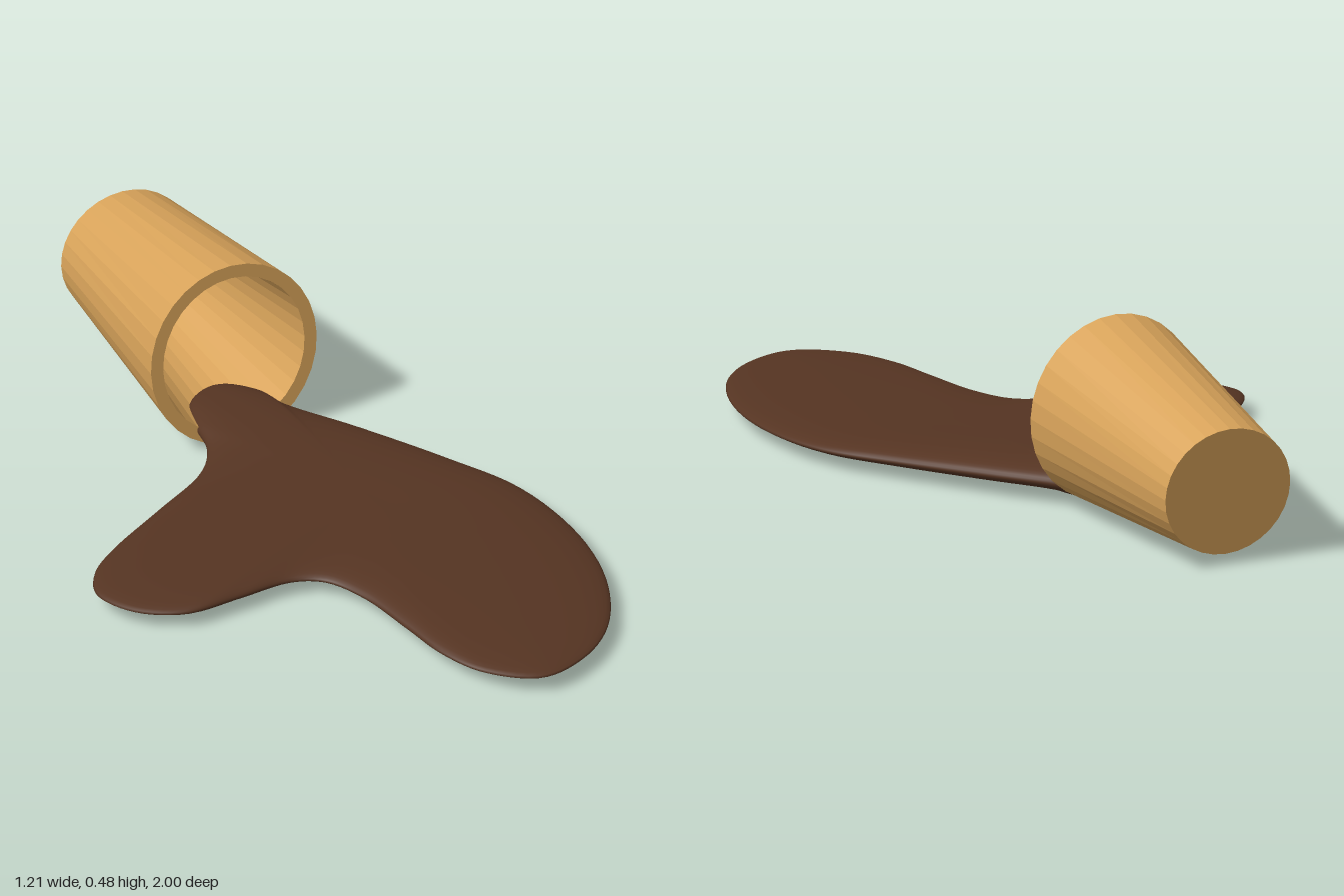
import * as THREE from 'three';

// Skins a list of closed rings (arrays of Vector3 of equal length).
function loft(rings) {
  const n = rings[0].length, pos = [], idx = [];
  rings.forEach(r => r.forEach(p => pos.push(p.x, p.y, p.z)));
  for (let i = 0; i < rings.length - 1; i++) {
    for (let j = 0; j < n; j++) {
      const k = (j + 1) % n;
      const a = i * n + j, b = i * n + k, c = b + n, d = a + n;
      idx.push(a, b, c, a, c, d);
    }
  }
  const g = new THREE.BufferGeometry();
  g.setAttribute('position', new THREE.Float32BufferAttribute(pos, 3));
  g.setIndex(idx);
  g.computeVertexNormals();
  return g;
}

// Tapered, hollow cup lying on its side, slightly oval at the rim
function makeCup() {
  const base = new THREE.Vector3(-0.09, 0.193, -0.983);
  const rim = new THREE.Vector3(-0.025, 0.245, -0.365);
  const axis = rim.clone().sub(base);
  const length = axis.length();
  // distance along the axis, half width, half height
  const profile = [
    [0, 0, 0], [0, 0.171, 0.163],
    [length, 0.224, 0.242], [length, 0.191, 0.208],
    [0.05, 0.122, 0.13], [0.05, 0, 0],
  ];
  const sides = 32;
  const rings = profile.map(([s, rx, ry]) => Array.from({ length: sides }, (_, j) => {
    const a = j / sides * Math.PI * 2;
    return new THREE.Vector3(rx * Math.cos(a), ry * Math.sin(a), s);
  }));
  const cup = new THREE.Mesh(loft(rings),
    new THREE.MeshStandardMaterial({ color: 0xd8a35a, flatShading: true }));
  cup.name = 'cup';
  cup.position.copy(base);
  cup.quaternion.setFromUnitVectors(new THREE.Vector3(0, 0, 1), axis.normalize());
  return cup;
}

// Spilled liquid: a soft pillow inside a lobed outline, thicker at the cup mouth
function makeSpill() {
  const outline = [
    [-0.127, -0.37], [-0.135, -0.25], [-0.19, -0.15], [-0.34, -0.03], [-0.5, 0.095],
    [-0.575, 0.175], [-0.605, 0.275], [-0.545, 0.375], [-0.43, 0.425], [-0.285, 0.4],
    [-0.14, 0.372], [-0.06, 0.4], [0.005, 0.5], [0.058, 0.67], [0.1, 0.81],
    [0.17, 0.925], [0.295, 0.995], [0.417, 0.945], [0.52, 0.83], [0.59, 0.63],
    [0.597, 0.4], [0.533, 0.16], [0.41, -0.015], [0.243, -0.22], [0.1, -0.385],
    [0.06, -0.47], [-0.02, -0.52], [-0.1, -0.47],
  ].map(([x, z]) => new THREE.Vector3(x, 0, z));
  const edge = new THREE.CatmullRomCurve3(outline, true).getPoints(160).slice(0, -1);
  const centre = new THREE.Vector3(0.15, 0, 0.1);
  const steps = 32, rings = [];
  for (let i = 0; i <= steps; i++) {
    const u = (i / steps) * 2 - 1;                  // -1 underside, +1 top
    const t = Math.cos(u * Math.PI / 2);            // distance from the centre
    const swell = Math.sqrt(Math.max(0, 1 - t ** 4)) * Math.sign(u);
    rings.push(edge.map(e => {
      const p = centre.clone().lerp(e, t);
      const rise = 0.015 * (1 - THREE.MathUtils.smoothstep(p.z, -0.4, 0.35));
      p.y = 0.045 + rise + swell * ((u > 0 ? 0.028 : 0.022) + rise);
      return p;
    }));
  }
  const spill = new THREE.Mesh(loft(rings), new THREE.MeshStandardMaterial({ color: 0x553422 }));
  spill.name = 'spilledLiquid';
  return spill;
}

export function createModel() {
  const model = new THREE.Group();
  model.name = 'spilledCup';
  model.add(makeCup(), makeSpill());
  return model;
}
